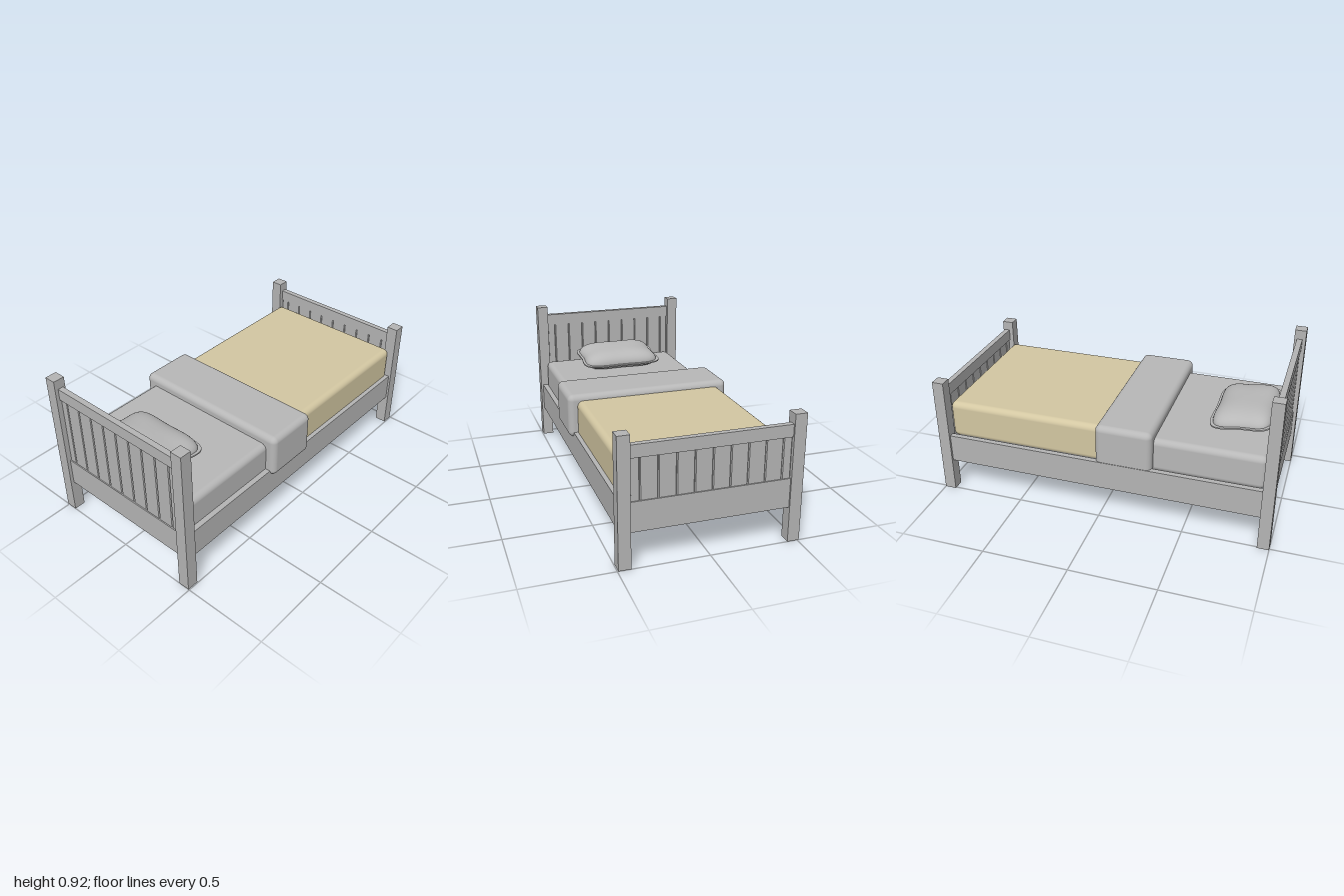
import * as THREE from 'three';
import { mergeVertices } from 'three/addons/utils/BufferGeometryUtils.js';
import { RoundedBoxGeometry } from 'three/addons/geometries/RoundedBoxGeometry.js';

const paint = (name, color) => {
  const m = new THREE.MeshStandardMaterial({ color });
  m.name = name;
  return m;
};

export function createModel() {
  const wood = paint('grey wood', 0xb5b5b5);
  const linen = paint('grey linen', 0xb8b8b8);
  const tan = paint('tan cover', 0xd3c7a2);
  const bed = new THREE.Group();
  bed.name = 'bed';

  const add = (name, geometry, material, parent = bed) => {
    const mesh = new THREE.Mesh(geometry, material);
    mesh.name = name;
    parent.add(mesh);
    return mesh;
  };
  // boxes are given by their [min, max] ranges
  const mid = (r) => (r[0] + r[1]) / 2;
  const len = (r) => r[1] - r[0];
  const box = (name, x, y, z, material, parent = bed, radius = 0) => {
    const g = radius
      ? new RoundedBoxGeometry(len(x), len(y), len(z), 5, radius)
      : new THREE.BoxGeometry(len(x), len(y), len(z));
    g.translate(mid(x), mid(y), mid(z));
    return add(name, g, material, parent);
  };

  // plank with bevelled long edges, so neighbours meet in a V groove
  const plank = (x0, x1, y0, y1, z, parent) => {
    const t = 0.01, c = 0.005;
    const s = new THREE.Shape([
      [x0, -t + c], [x0 + c, -t], [x1 - c, -t], [x1, -t + c],
      [x1, t - c], [x1 - c, t], [x0 + c, t], [x0, t - c],
    ].map(([x, y]) => new THREE.Vector2(x, y)));
    const g = new THREE.ExtrudeGeometry(s, { depth: y1 - y0, bevelEnabled: false });
    g.rotateX(-Math.PI / 2).translate(0, y0, z);
    add('plank', g, wood, parent);
  };

  // headboard and footboard: two posts, two rails and ten planks each
  const endBoard = (name, postZ, railZ, height) => {
    const board = new THREE.Group();
    board.name = name;
    bed.add(board);
    for (const x of [[-0.51, -0.442], [0.427, 0.495]]) box('post', x, [0, height], postZ, wood, board);
    const span = [-0.442, 0.427], top = height - 0.057;
    box('bottomRail', span, [0.2, 0.367], railZ, wood, board);
    box('topRail', span, [top - 0.07, top], railZ, wood, board);
    const edges = [span[0]];
    for (let i = 0; i < 9; i++) edges.push(-0.392 + i * 0.096);
    edges.push(span[1]);
    for (let i = 0; i < 10; i++) plank(edges[i], edges[i + 1], 0.36, top - 0.065, mid(railZ), board);
  };
  endBoard('headboard', [0.932, 1], [0.947, 0.98], 0.921);
  endBoard('footboard', [-1, -0.932], [-0.99, -0.957], 0.725);

  // side rails with a narrow inner ledge carrying the mattress
  const length = [-0.935, 0.935];
  box('sideRail', [-0.497, -0.465], [0.2, 0.37], length, wood);
  box('sideRail', [0.45, 0.482], [0.2, 0.37], length, wood);
  box('ledge', [-0.465, -0.435], [0.3, 0.335], length, wood);
  box('ledge', [0.42, 0.45], [0.3, 0.335], length, wood);

  // bedding
  box('mattress', [-0.44, 0.45], [0.335, 0.54], [-0.93, 0.936], linen, bed, 0.035);
  box('cover', [-0.441, 0.456], [0.337, 0.566], [-0.945, 0], tan, bed, 0.035);
  box('foldedSheet', [-0.494, 0.508], [0.335, 0.598], [-0.022, 0.308], linen, bed, 0.035);

  // pillow outline: rounded rectangle with pinched sides and pulled-out corners
  const outline = (a, w, d) => {
    const c = Math.cos(a), s = Math.sin(a);
    const r = 1 / Math.pow(Math.pow(Math.abs(c), 5) + Math.pow(Math.abs(s), 5), 0.2);
    const pull = 0.955 + 0.05 * Math.pow(Math.sin(2 * a), 2);
    return new THREE.Vector2(w * r * c * pull, d * r * s * pull);
  };
  const pillow = new THREE.Group();
  pillow.name = 'pillow';
  pillow.position.set(-0.011, 0.592, 0.745);
  pillow.rotation.x = -0.11;
  bed.add(pillow);

  // pillow body: a sphere reshaped to the outline, fuller above the seam
  let body = new THREE.SphereGeometry(1, 64, 24);
  body.deleteAttribute('normal');
  body.deleteAttribute('uv');
  body = mergeVertices(body, 1e-5);
  const p = body.attributes.position;
  for (let i = 0; i < p.count; i++) {
    const y = p.getY(i);
    const ring = Math.pow(Math.max(0, 1 - y * y), 0.3);
    const o = outline(Math.atan2(p.getZ(i), p.getX(i)), 0.25, 0.17).multiplyScalar(ring);
    p.setXYZ(i, o.x, y * (y > 0 ? 0.075 : 0.048), o.y);
  }
  body.computeVertexNormals();
  add('pillowBody', body, linen, pillow);

  // thin flange along the pillow seam
  const rim = [];
  for (let i = 0; i < 72; i++) rim.push(outline((i / 72) * Math.PI * 2, 0.266, 0.184));
  const flange = new THREE.ExtrudeGeometry(new THREE.Shape(rim), { depth: 0.008, bevelEnabled: false });
  flange.rotateX(-Math.PI / 2).translate(0, -0.004, 0);
  add('pillowFlange', flange, linen, pillow);

  return bed;
}
